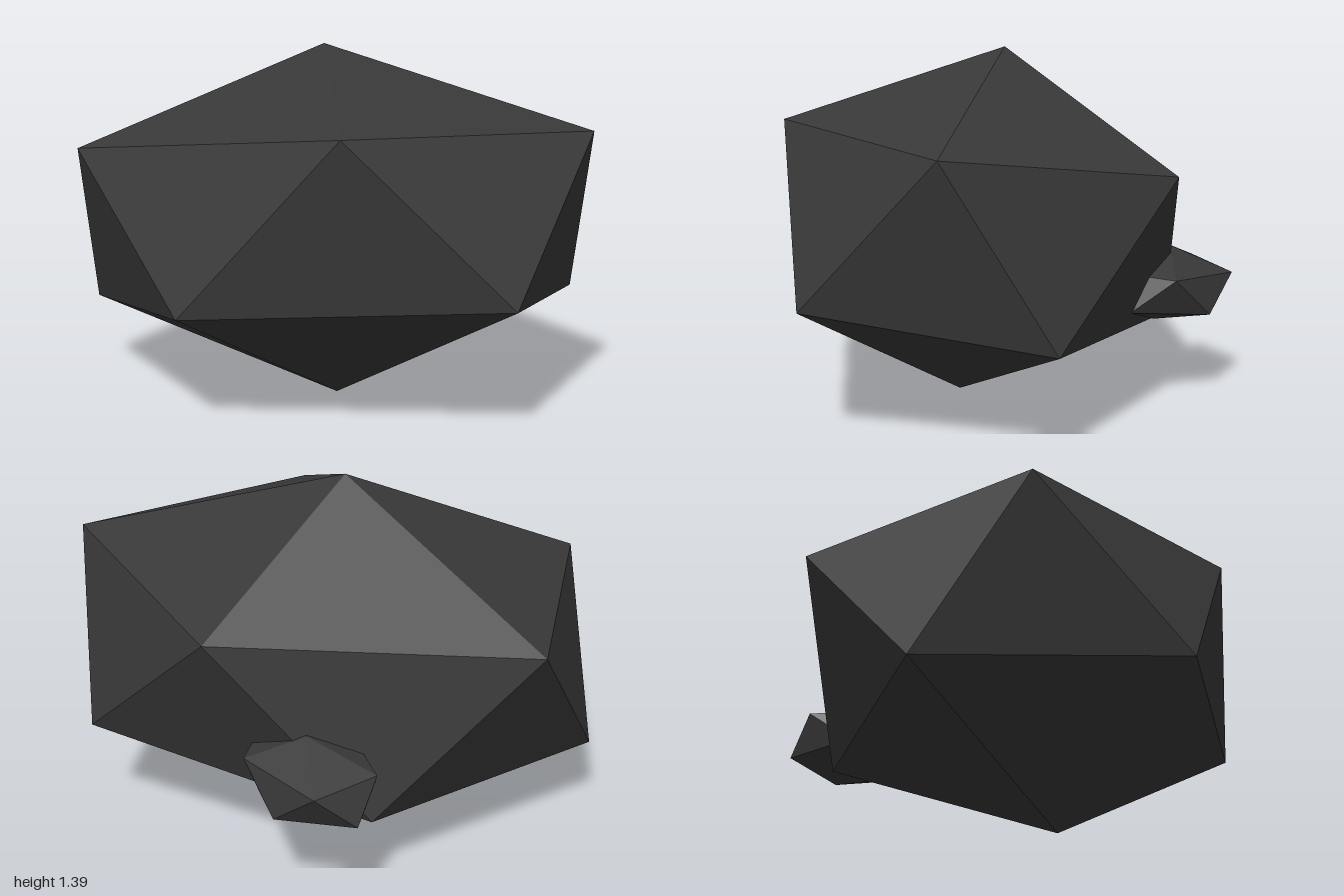
import * as THREE from 'three';
import { ConvexGeometry } from 'three/addons/geometries/ConvexGeometry.js';

// Faceted stone: each half corner is mirrored through the centre
function stone(name, center, corners, material) {
  const c = new THREE.Vector3(...center);
  const points = corners.flatMap((p) => {
    const v = new THREE.Vector3(...p).sub(c);
    return [v, v.clone().negate()];
  });
  const mesh = new THREE.Mesh(new ConvexGeometry(points), material);
  mesh.name = name;
  mesh.position.copy(c);
  return mesh;
}

export function createModel() {
  const group = new THREE.Group();
  group.name = 'rock';
  const darkStone = new THREE.MeshStandardMaterial({ color: 0x383838 });
  darkStone.name = 'dark stone';

  // Main boulder: peak and the five corners around it
  group.add(stone('boulder', [-0.022, 0.693, 0], [
    [0.037, 1.386, -0.08],
    [-0.61, 1.122, 0.515],
    [0.35, 1.09, 0.97],
    [0.832, 0.94, 0.033],
    [0.17, 0.878, -1],
    [-0.72, 0.993, -0.705],
  ], darkStone));

  // Small stone half sunk into the boulder's left flank
  group.add(stone('sideStone', [0.64, 0.45, -0.295], [
    [0.67, 0.605, -0.3],
    [0.876, 0.485, -0.46],
    [0.855, 0.347, -0.275],
    [0.77, 0.36, -0.575],
    [0.65, 0.515, -0.583],
    [0.78, 0.51, -0.1],
  ], darkStone));

  return group;
}
